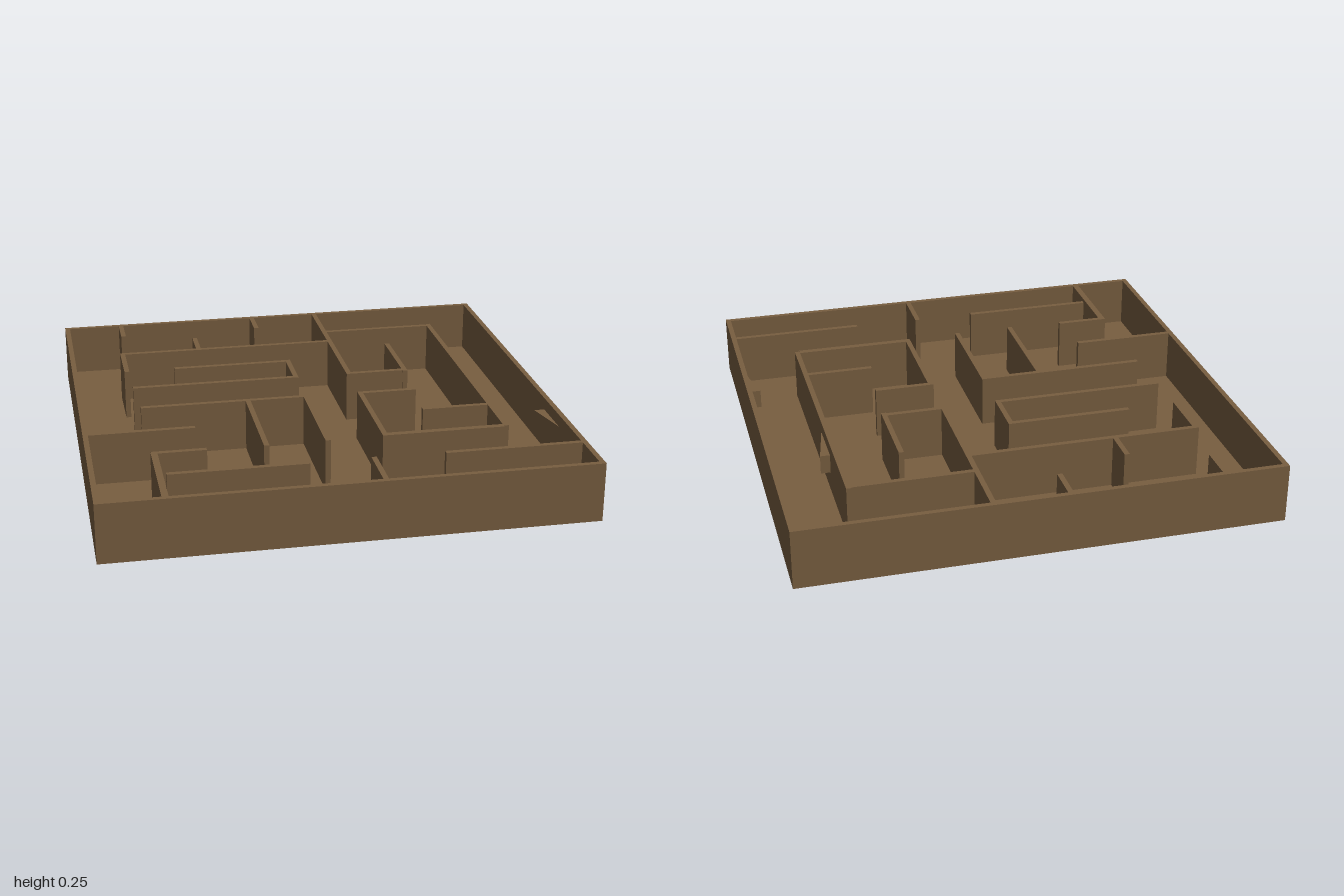
import * as THREE from 'three';

const HEIGHT = 0.25, FLOOR = 0.03, RIM = 0.022;

// Extrudes a plan shape (drawn with y = -z) upwards from y0 to y1
function extrudeUp(shape, y0, y1) {
  const geo = new THREE.ExtrudeGeometry(shape, { depth: y1 - y0, bevelEnabled: false, curveSegments: 32 });
  geo.rotateX(-Math.PI / 2);
  geo.translate(0, y0, 0);
  return geo;
}

function rectangle(path, s) {
  path.moveTo(-s, -s);
  path.lineTo(s, -s);
  path.lineTo(s, s);
  path.lineTo(-s, s);
  path.closePath();
  return path;
}

export function createModel() {
  const model = new THREE.Group();
  model.name = 'mazeTray';
  const wood = new THREE.MeshStandardMaterial({ color: 0x785e40 });
  wood.name = 'brown wood';

  function add(name, geo, parent = model) {
    const mesh = new THREE.Mesh(geo, wood);
    mesh.name = name;
    parent.add(mesh);
    return mesh;
  }

  // Floor with the round exit hole
  const floor = rectangle(new THREE.Shape(), 1);
  const hole = new THREE.Path();
  hole.absarc(0.402, 0.855, 0.096, 0, Math.PI * 2, true);
  floor.holes.push(hole);
  add('floor', extrudeUp(floor, 0, FLOOR));

  // Outer wall as one square ring
  const ring = rectangle(new THREE.Shape(), 1);
  ring.holes.push(rectangle(new THREE.Path(), 1 - RIM));
  add('outerWall', extrudeUp(ring, FLOOR, HEIGHT));

  // Inner walls: x from, x to, z from, z to
  const walls = [
    [-0.745, -0.723, -0.978, -0.83],
    [-0.107, -0.085, -0.978, -0.83],
    [0.203, 0.225, -0.978, -0.145],
    [0.225, 0.717, -0.73, -0.708],
    [0.717, 0.739, -0.735, 0.557],
    [-0.417, -0.395, -0.745, -0.6],
    [-0.77, 0.203, -0.6, -0.578],
    [-0.77, -0.748, -0.578, -0.355],
    [0.459, 0.481, -0.5, -0.14],
    [0.225, 0.459, -0.167, -0.145],
    [-0.545, -0.015, -0.372, -0.35],
    [-0.037, -0.015, -0.35, -0.167],
    [-0.75, -0.015, -0.167, -0.145],
    [-0.738, -0.015, 0.068, 0.09],
    [-0.29, -0.268, 0.09, 0.578],
    [-0.037, -0.015, 0.09, 0.573],
    [0.203, 0.46, 0.073, 0.095],
    [0.203, 0.225, 0.095, 0.567],
    [0.225, 0.717, 0.54, 0.567],
    [0.433, 0.717, 0.302, 0.324],
    [-0.978, -0.538, 0.322, 0.344],
    [-0.745, -0.52, 0.555, 0.577],
    [-0.745, -0.718, 0.577, 0.978],
    [-0.705, -0.14, 0.764, 0.786],
    [0.108, 0.13, 0.768, 0.978],
    [0.41, 0.978, 0.764, 0.786],
  ];
  const maze = new THREE.Group();
  maze.name = 'innerWalls';
  model.add(maze);
  for (const [x0, x1, z0, z1] of walls) {
    const geo = new THREE.BoxGeometry(x1 - x0, HEIGHT - FLOOR, z1 - z0);
    geo.translate((x0 + x1) / 2, (HEIGHT + FLOOR) / 2, (z0 + z1) / 2);
    add('innerWall', geo, maze);
  }

  // Small wedges fixed to the sides of two walls: start x, tip x, z from, z to
  for (const [x, tip, z0, z1] of [[0.739, 0.78, -0.36, -0.15], [0.978, 0.933, 0.303, 0.5]]) {
    const wedge = new THREE.Shape([
      new THREE.Vector2(x, -z0), new THREE.Vector2(tip, -z0), new THREE.Vector2(x, -z1),
    ]);
    add('wedge', extrudeUp(wedge, 0.12, 0.2));
  }
  return model;
}
